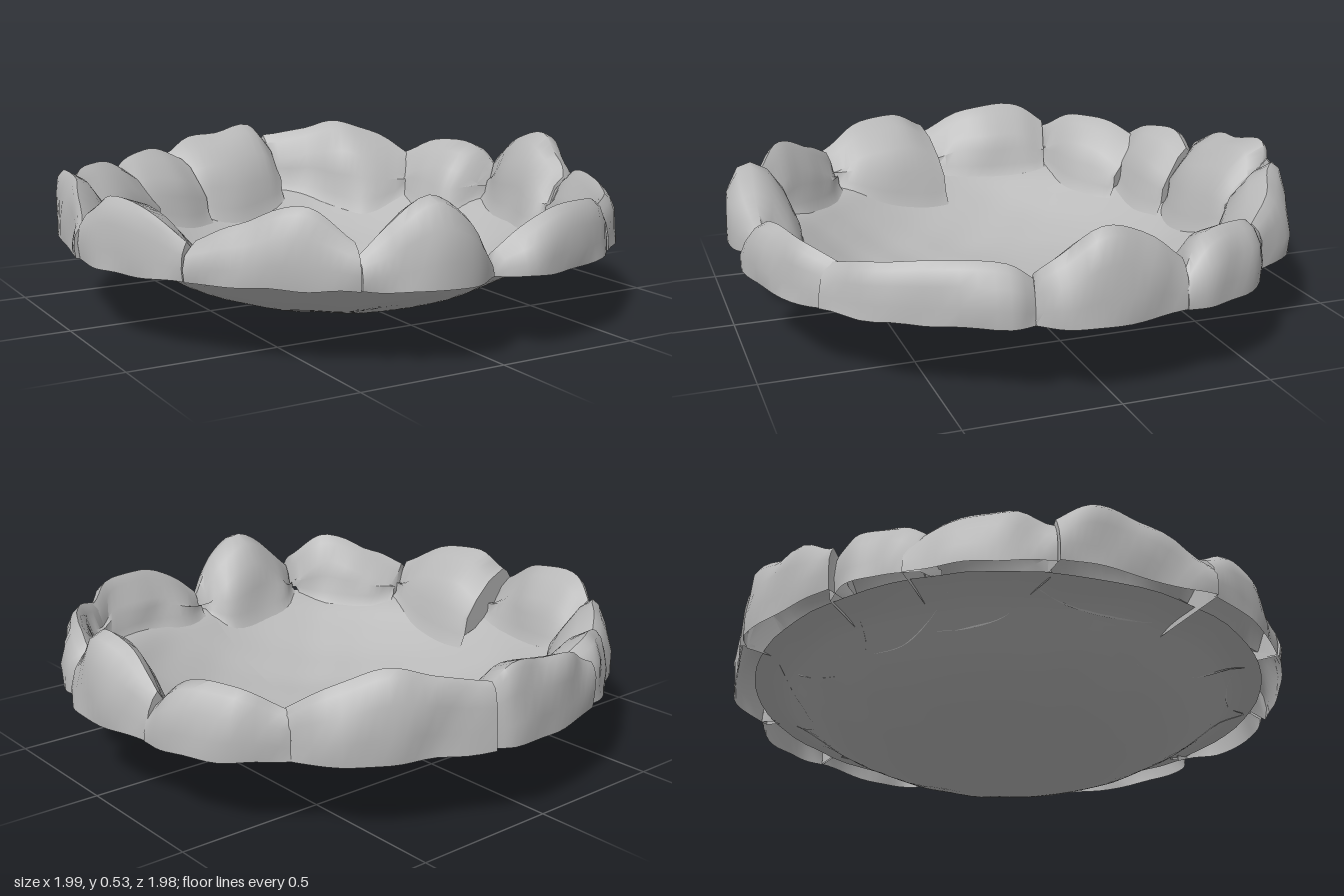
import * as THREE from 'three';
import { toCreasedNormals } from 'three/addons/utils/BufferGeometryUtils.js';

const stone = new THREE.MeshStandardMaterial({ color: 0xb8b8b8, side: THREE.DoubleSide });
stone.name = 'grey stone';

// Bowl cross-section: radius, height
const PROFILE = [[0, 0.008], [0.2, 0.018], [0.38, 0.036], [0.5, 0.07], [0.6, 0.112], [0.7, 0.17], [0.8, 0.235], [0.9, 0.262]];

function bowlHeight(r) {
  for (let i = 1; i < PROFILE.length; i++) {
    const [r0, y0] = PROFILE[i - 1], [r1, y1] = PROFILE[i];
    if (r <= r1) return y0 + (y1 - y0) * (r - r0) / (r1 - r0);
  }
  return 0.262;
}

// Smooth repeatable unevenness
const bump = (x, y, z) =>
  Math.sin(x * 17 + y * 9) * Math.sin(z * 19 - y * 13 + 1) + 0.6 * Math.sin(x * 25 + y * 21 + 2) * Math.sin(z * 23 + y * 8);

// Shallow, slightly uneven bowl
function makeBowl() {
  const curve = PROFILE.map(([r, y]) => new THREE.Vector2(r, y));
  const points = new THREE.SplineCurve(curve).getPoints(28);
  points[0].x = 0;
  const geo = new THREE.LatheGeometry(points, 72);
  const p = geo.attributes.position;
  for (let i = 0; i < p.count; i++) {
    const x = p.getX(i), z = p.getZ(i);
    const r = Math.hypot(x, z);
    p.setY(i, Math.max(0, p.getY(i) + 0.003 * bump(x, 0, z) * Math.min(1, r * 3)));
  }
  geo.computeVertexNormals();
  const mesh = new THREE.Mesh(geo, stone);
  mesh.name = 'bowl';
  return mesh;
}

// Smooth path with both ends pushed out a little, so neighbouring stones touch
function edgePath(points) {
  const extend = (end, next) => end.clone().add(end.clone().sub(next).setY(0).setLength(0.018));
  const n = points.length;
  const first = extend(points[0], points[1]), last = extend(points[n - 1], points[n - 2]);
  return new THREE.CatmullRomCurve3([first, ...points.slice(1, -1), last], false, 'centripetal');
}

// Rim stone lofted through sections [outer x, outer z, inner x, inner z, height];
// crest is where the ridge lies between the outer (0) and inner (1) edge
function makeStone(name, crest, sections) {
  const steps = 16, pos = [], idx = [];
  const outerPath = edgePath(sections.map(s => new THREE.Vector3(s[0], s[4], s[1])));
  const innerPath = edgePath(sections.map(s => new THREE.Vector3(s[2], s[4], s[3])));
  let n = 0;
  for (let i = 0; i <= steps; i++) {
    const t = i / steps;
    const o = outerPath.getPoint(t), q = innerPath.getPoint(t), h = o.y;
    const low = bowlHeight(Math.hypot(q.x, q.z));
    const width = Math.hypot(q.x - o.x, q.z - o.z);
    const base = 0.257 + 0.005 * bump(o.x, 0, o.z);
    const slope = 1 - crest;
    const ring = [
      [0, base], [0, base + (h - base) * 0.3], [crest * 0.18, base + (h - base) * 0.65],
      [crest * 0.55, h - 0.02], [crest, h], [crest + slope * 0.35, h - 0.03],
      [crest + slope * 0.7, h - 0.08 - (h - base) * 0.1],
      [0.95, low + (h - low) * 0.38], [1, low + (h - low) * 0.12], [1 + 0.025 / width, low],
    ];
    n = ring.length;
    ring.forEach(([k, y], j) => {
      const x = o.x + (q.x - o.x) * k, z = o.z + (q.z - o.z) * k;
      const d = j === 0 || j >= n - 2 ? 0 : 0.008 * bump(x, y, z);
      const r = Math.hypot(x, z);
      const height = j === n - 1 ? bowlHeight(r) : y + d * 0.6;
      pos.push(x + x / r * d, height, z + z / r * d);
    });
  }
  for (let i = 0; i < steps; i++) {
    for (let j = 0; j < n - 1; j++) {
      const a = i * n + j, b = a + n;
      idx.push(a, b, b + 1, a, b + 1, a + 1);
    }
  }
  // End faces, stopping above the bowl
  const last = steps * n;
  for (let j = 1; j < n - 2; j++) idx.push(0, j, j + 1, last, last + j + 1, last + j);
  const geo = new THREE.BufferGeometry();
  geo.setAttribute('position', new THREE.Float32BufferAttribute(pos, 3));
  geo.setIndex(idx);
  const mesh = new THREE.Mesh(toCreasedNormals(geo, 0.9), stone);
  mesh.name = name;
  return mesh;
}

export function createModel() {
  const group = new THREE.Group();
  group.name = 'stone fire pit';
  group.add(makeBowl());
  const add = (name, crest, ...sections) => group.add(makeStone(name, crest, sections));

  // Rim stones, running from the front round by the model's left
  add('frontLeftStone', 0.4, [0.05, 0.92, 0.05, 0.81, 0.32], [0.13, 0.98, 0.13, 0.78, 0.4],
    [0.28, 0.95, 0.27, 0.79, 0.45], [0.48, 0.88, 0.43, 0.75, 0.44], [0.58, 0.79, 0.53, 0.7, 0.4]);
  add('leftFrontStone', 0.4, [0.58, 0.8, 0.53, 0.7, 0.4], [0.72, 0.68, 0.61, 0.61, 0.425],
    [0.82, 0.5, 0.69, 0.46, 0.44], [0.92, 0.32, 0.75, 0.3, 0.44], [0.91, 0.25, 0.78, 0.23, 0.38]);
  add('leftStone', 0.4, [0.92, 0.23, 0.77, 0.2, 0.4], [0.98, 0.16, 0.75, 0.16, 0.46],
    [0.99, 0.04, 0.77, 0.04, 0.535], [0.98, -0.1, 0.79, -0.1, 0.51], [0.95, -0.22, 0.83, -0.21, 0.41]);
  add('leftBackStone', 0.35, [0.95, -0.25, 0.82, -0.23, 0.36], [0.94, -0.34, 0.68, -0.28, 0.455],
    [0.85, -0.52, 0.64, -0.4, 0.46], [0.71, -0.62, 0.64, -0.52, 0.4]);
  add('backLeftStone', 0.3, [0.7, -0.62, 0.63, -0.52, 0.4], [0.62, -0.77, 0.47, -0.55, 0.49],
    [0.49, -0.84, 0.4, -0.62, 0.53], [0.36, -0.89, 0.3, -0.75, 0.5], [0.2, -0.96, 0.2, -0.84, 0.47]);
  add('backStone', 0.15, [0.17, -0.95, 0.17, -0.76, 0.44], [0.12, -0.985, 0.12, -0.74, 0.515],
    [-0.04, -0.98, -0.05, -0.7, 0.5], [-0.2, -0.95, -0.18, -0.72, 0.47], [-0.3, -0.92, -0.25, -0.78, 0.41]);
  add('backRightStone', 0.3, [-0.28, -0.88, -0.2, -0.69, 0.41], [-0.38, -0.89, -0.3, -0.65, 0.46],
    [-0.48, -0.83, -0.43, -0.64, 0.46], [-0.56, -0.76, -0.53, -0.65, 0.4]);
  add('rightBackStone', 0.3, [-0.55, -0.78, -0.44, -0.59, 0.39], [-0.66, -0.71, -0.51, -0.53, 0.45],
    [-0.78, -0.59, -0.62, -0.46, 0.46], [-0.85, -0.47, -0.78, -0.43, 0.4]);
  add('rightStone', 0.2, [-0.88, -0.44, -0.74, -0.4, 0.42], [-0.92, -0.34, -0.74, -0.33, 0.48],
    [-0.95, -0.14, -0.78, -0.14, 0.48], [-0.99, 0.05, -0.83, 0.05, 0.37]);
  add('rightFrontStone', 0.18, [-0.98, 0.09, -0.68, 0.05, 0.42], [-0.97, 0.2, -0.67, 0.15, 0.48],
    [-0.91, 0.36, -0.68, 0.34, 0.46], [-0.83, 0.5, -0.72, 0.47, 0.38]);
  add('frontRightStone', 0.4, [-0.81, 0.54, -0.68, 0.48, 0.38], [-0.72, 0.65, -0.6, 0.53, 0.44],
    [-0.56, 0.79, -0.48, 0.66, 0.495], [-0.44, 0.87, -0.43, 0.77, 0.4]);
  add('frontStone', 0.35, [-0.4, 0.88, -0.4, 0.79, 0.36], [-0.33, 0.93, -0.32, 0.73, 0.44],
    [-0.2, 0.98, -0.2, 0.73, 0.53], [-0.08, 0.975, -0.06, 0.74, 0.45], [0.01, 0.92, 0.0, 0.81, 0.31]);
  return group;
}
